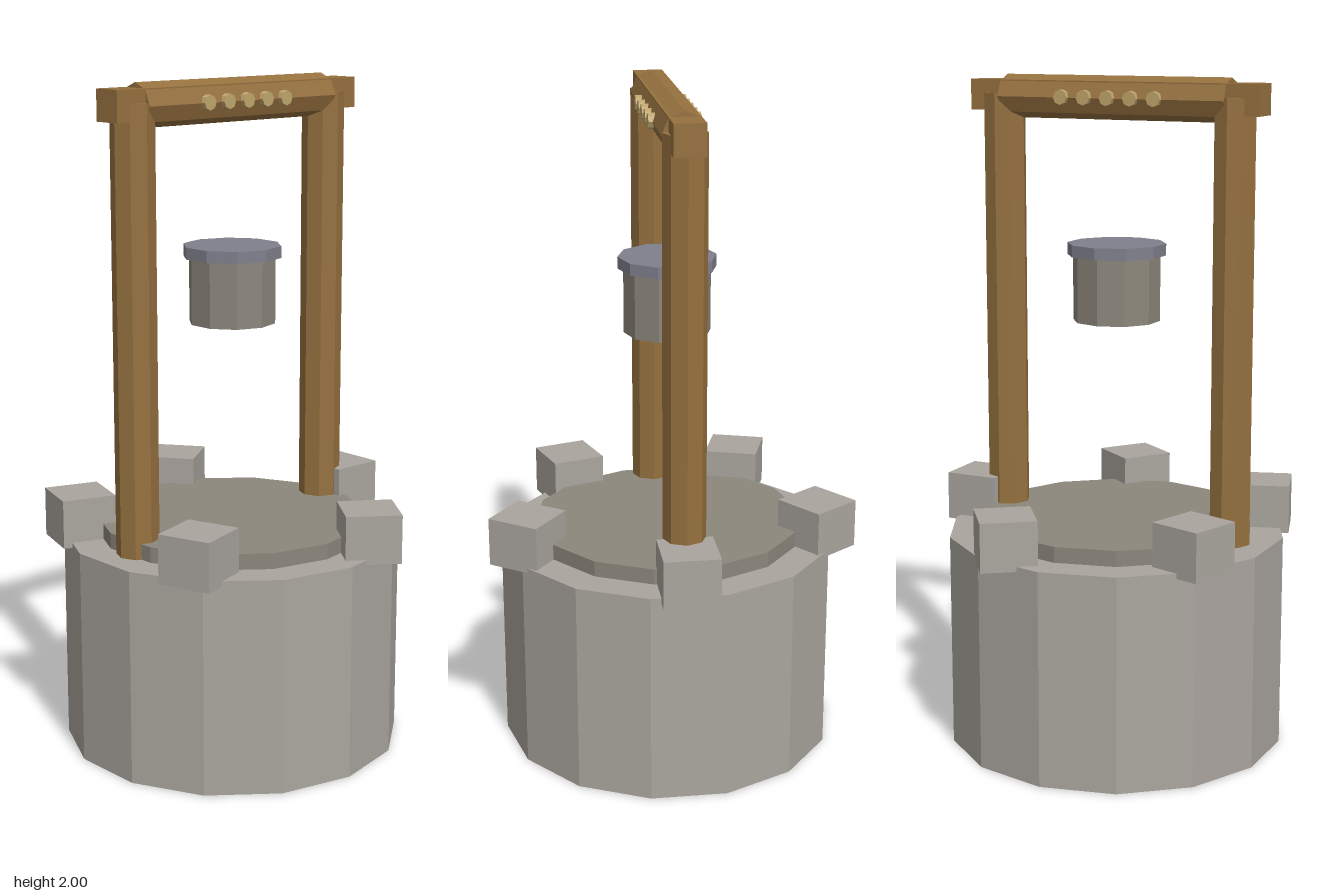
import * as THREE from 'three';

const CX = -0.025; // axis of the well
const mat = (color) => new THREE.MeshStandardMaterial({ color, flatShading: true });

export function createModel() {
  const model = new THREE.Group();
  const stone = mat(0xaaa59e), slab = mat(0x8c877c), wood = mat(0x96713f);
  const peg = mat(0xbfa56b), metal = mat(0x7f808c);

  const add = (name, geometry, material, x, y, z = 0) => {
    const mesh = new THREE.Mesh(geometry, material);
    mesh.name = name;
    mesh.position.set(x, y, z);
    model.add(mesh);
    return mesh;
  };
  // upright prism between two heights
  const prism = (name, r, y0, y1, sides, material, x = CX) =>
    add(name, new THREE.CylinderGeometry(r, r, y1 - y0, sides), material, x, (y0 + y1) / 2);

  // stone wall with a raised floor inside its rim
  prism('wall', 0.51, 0, 0.645, 14, stone);
  prism('innerFloor', 0.41, 0.005, 0.692, 14, slab);

  // five loose blocks round the rim, each turned by half its position angle
  const block = new THREE.BoxGeometry(0.165, 0.146, 0.165);
  for (let i = -2; i <= 2; i++) {
    const a = i * Math.PI * 0.4;
    const b = add('rimStone', block, stone, CX + 0.46 * Math.cos(a), 0.703, 0.46 * Math.sin(a));
    b.rotation.y = -a / 2;
  }

  // posts
  for (const s of [-1, 1]) prism('post', 0.0635, 0.62, 1.945, 8, wood, CX + s * 0.371);

  // crossbeam: square core with a thicker eight-sided middle
  add('beamCore', new THREE.BoxGeometry(0.92, 0.09, 0.09), wood, CX, 1.94);
  const beam = new THREE.CylinderGeometry(0.0635, 0.0635, 0.72, 8);
  beam.rotateZ(Math.PI / 2);
  add('beam', beam, wood, CX, 1.9365);

  // row of pegs through the beam
  const pegShape = new THREE.CylinderGeometry(0.022, 0.022, 0.15, 8);
  pegShape.rotateX(Math.PI / 2);
  for (let i = -2; i <= 2; i++) add('peg', pegShape, peg, CX + i * 0.074, 1.938);

  // hanging bucket and its lid
  prism('bucket', 0.13, 1.285, 1.485, 10, slab);
  prism('bucketLid', 0.147, 1.48, 1.515, 10, metal);

  return model;
}
